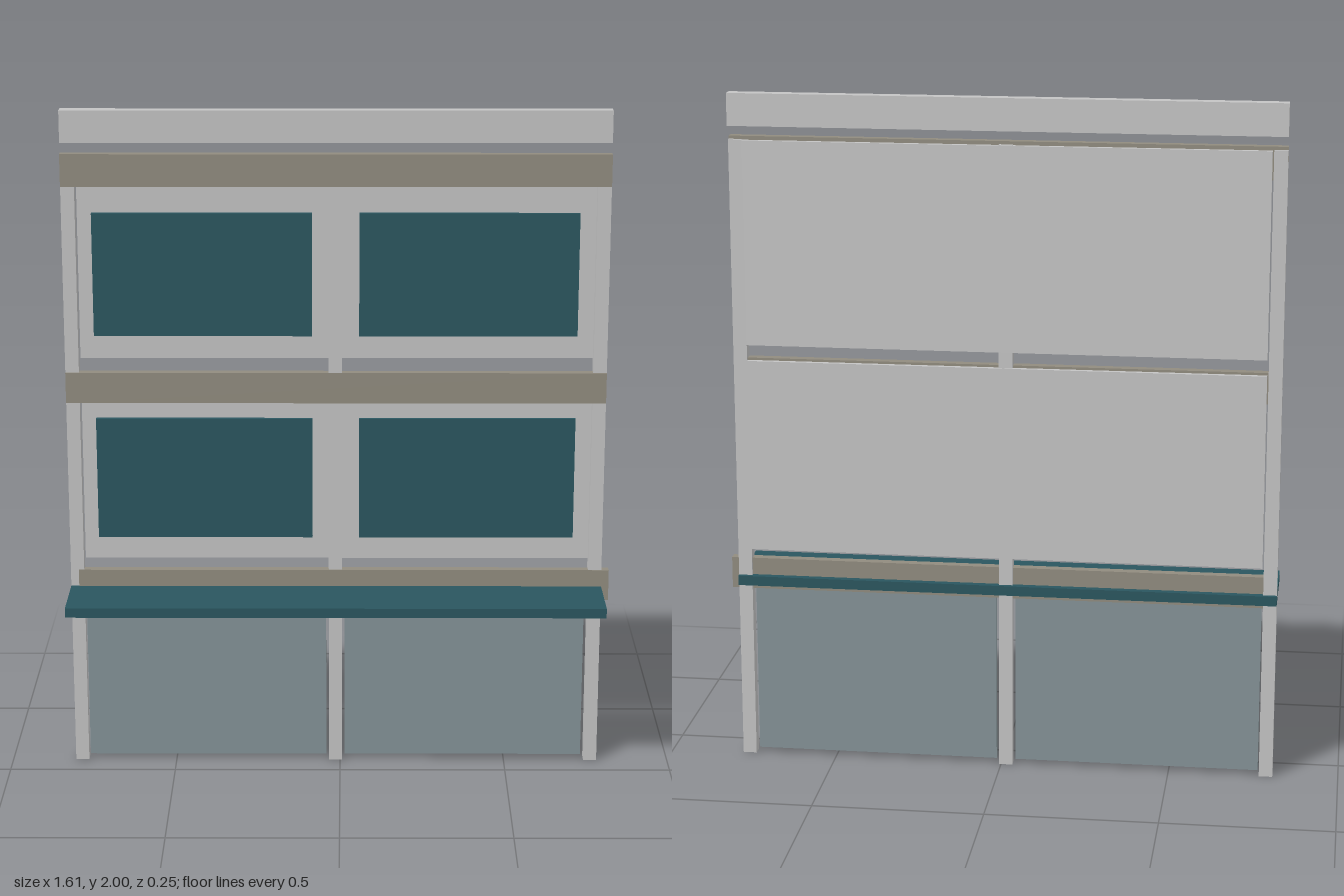
import * as THREE from 'three';

const material = (name, color) => {
  const m = new THREE.MeshStandardMaterial({ color });
  m.name = name;
  return m;
};

export function createModel() {
  const lightGrey = material('light grey', 0xc4c4c4);
  const taupe = material('taupe', 0x918c7f);
  const teal = material('dark teal', 0x2a565f);
  const blueGrey = material('blue grey', 0x849297);

  const model = new THREE.Group();
  model.name = 'panelledCounterWall';

  // Box given by its limits along each axis
  const box = (name, mat, [x0, x1], [y0, y1], [z0, z1]) => {
    const mesh = new THREE.Mesh(new THREE.BoxGeometry(x1 - x0, y1 - y0, z1 - z0), mat);
    mesh.position.set((x0 + x1) / 2, (y0 + y1) / 2, (z0 + z1) / 2);
    mesh.name = name;
    model.add(mesh);
  };

  const full = [-0.808, 0.784];
  const railDepth = [-0.104, -0.077];

  // Upright posts
  for (const [name, x] of [
    ['rightPost', [-0.808, -0.768]],
    ['centrePost', [-0.034, 0.006]],
    ['leftPost', [0.744, 0.784]],
  ]) box(name, lightGrey, x, [0, 1.866], [-0.113, -0.08]);

  // Separate header beam above the frame
  box('headerBeam', lightGrey, full, [1.906, 2], [-0.125, -0.089]);

  // Horizontal rails; the lowest is shifted sideways
  box('topRail', taupe, full, [1.78, 1.875], railDepth);
  box('middleRail', taupe, full, [1.133, 1.225], railDepth);
  box('lowerRail', taupe, [-0.784, 0.806], [0.52, 0.614], railDepth);

  // Backing boards, each with two raised display panels
  for (const [level, y0, y1, p0, p1] of [
    ['upper', 1.265, 1.864, 1.334, 1.7],
    ['lower', 0.645, 1.218, 0.714, 1.082],
  ]) {
    box(level + 'BackBoard', lightGrey, [-0.764, 0.744], [y0, y1], [-0.118, -0.1]);
    box(level + 'RightDisplay', teal, [-0.722, -0.082], [p0, p1], [-0.101, -0.087]);
    box(level + 'LeftDisplay', teal, [0.056, 0.696], [p0, p1], [-0.101, -0.087]);
  }

  // Base infill panels between the posts
  box('rightBasePanel', blueGrey, [-0.764, -0.042], [0.015, 0.538], [-0.103, -0.091]);
  box('leftBasePanel', blueGrey, [0.014, 0.735], [0.015, 0.538], [-0.103, -0.091]);

  // Counter shelf running through the frame
  box('counterShelf', teal, full, [0.534, 0.563], [-0.125, 0.125]);

  return model;
}
